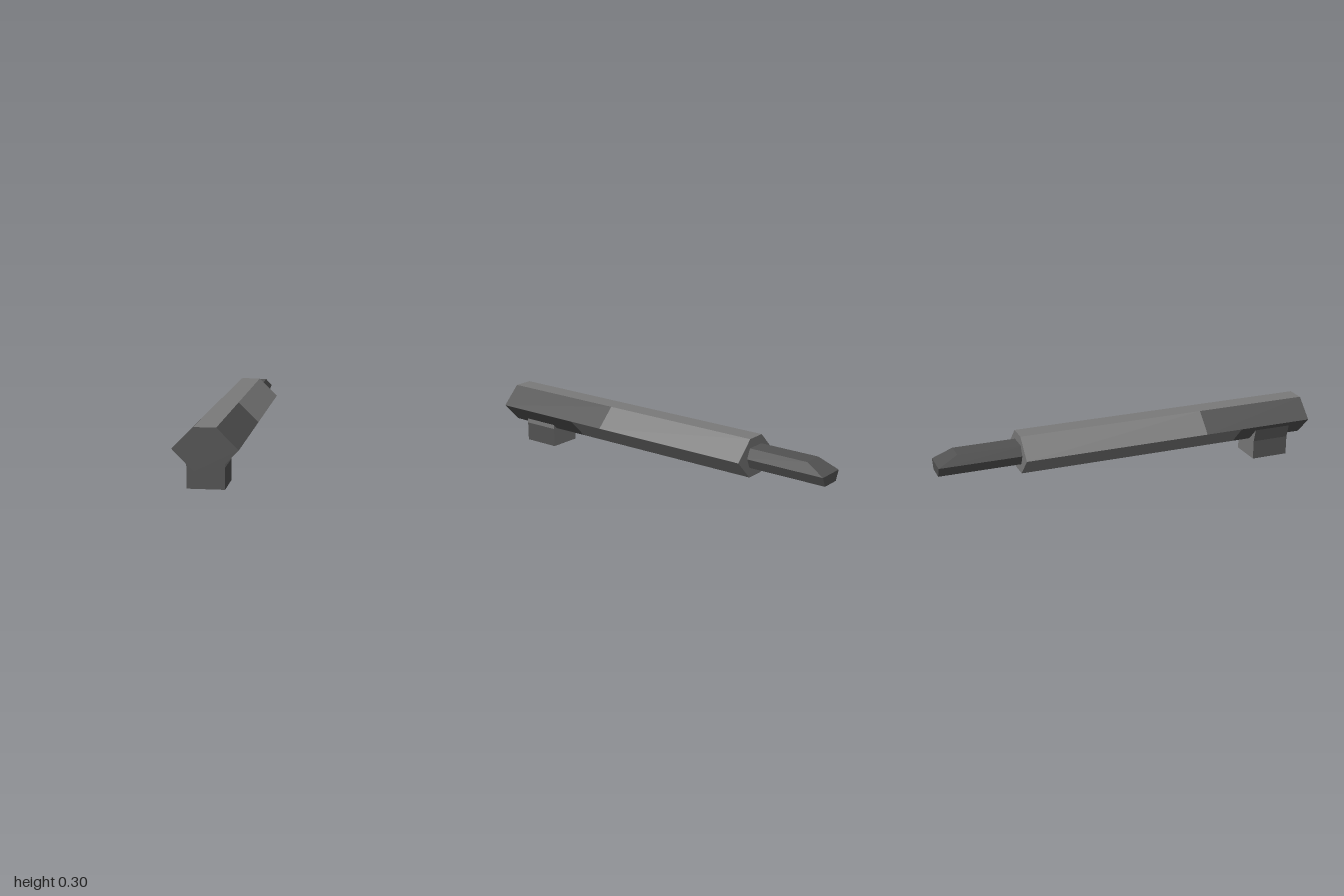
import * as THREE from 'three';

// Gathers flat polygons in two colours and turns them into one mesh.
class Faces {
  constructor() { this.lists = [[], []]; }
  // Fan a polygon from its first corner; corners run counter-clockwise seen from outside.
  add(color, pts) {
    for (let i = 1; i < pts.length - 1; i++) this.lists[color].push(...pts[0], ...pts[i], ...pts[i + 1]);
  }
  mesh(name, materials) {
    const geo = new THREE.BufferGeometry();
    const all = this.lists.flat();
    geo.setAttribute('position', new THREE.Float32BufferAttribute(all, 3));
    const n = this.lists[0].length / 3;
    geo.addGroup(0, n, 0);
    geo.addGroup(n, all.length / 3 - n, 1);
    geo.computeVertexNormals();
    const mesh = new THREE.Mesh(geo, materials);
    mesh.name = name;
    return mesh;
  }
}

const LIGHT = 0, DARK = 1;
const at = (p, z) => [p[0], p[1], z];
const cap = (outline, z) => outline.map(p => at(p, z));

// Six-sided section with flat top and bottom
const hexagon = (flat, wide, bottom, middle, top) => [
  [wide, middle], [flat, top], [-flat, top], [-wide, middle], [-flat, bottom], [flat, bottom],
];

// Side panel between corners a and b
const panel = (a, b, front, backA, backB = backA) =>
  [at(a, front), at(a, backA), at(b, backB), at(b, front)];

export function createModel() {
  const light = new THREE.MeshStandardMaterial({ color: 0x7a7a7a, flatShading: true });
  const dark = new THREE.MeshStandardMaterial({ color: 0x525252, flatShading: true });
  light.name = 'light grey';
  dark.name = 'dark grey';
  const materials = [light, dark];
  const model = new THREE.Group();
  model.name = 'model';

  // Body: each side panel is dark in front of its own split line
  const body = new Faces();
  const hex = hexagon(0.05, 0.148, 0.1, 0.2, 0.297);
  const bodyFront = 1, bodyBack = -0.58;
  const splits = [0.3, bodyFront, 0.4, 0.6, 0.4, 0.5];
  hex.forEach((a, i) => {
    const b = hex[(i + 1) % 6];
    if (splits[i] < bodyFront) body.add(DARK, panel(a, b, bodyFront, splits[i]));
    body.add(LIGHT, panel(a, b, splits[i], bodyBack));
  });
  body.add(DARK, cap(hex, bodyFront));
  body.add(LIGHT, cap(hex, bodyBack).reverse());
  model.add(body.mesh('body', materials));

  // Rear bar with its upper edge bevelled at the tip
  const bar = new Faces();
  const small = hexagon(0.05, 0.073, 0.15, 0.2, 0.25);
  const tip = [-1, -0.9, -0.9, -1, -1, -1];
  small.forEach((a, i) => {
    const j = (i + 1) % 6;
    bar.add(DARK, panel(a, small[j], -0.55, tip[i], tip[j]));
  });
  const end = small.map((p, i) => at(p, tip[i]));
  bar.add(DARK, [end[3], end[2], end[1], end[0]]);
  bar.add(DARK, [end[0], end[5], end[4], end[3]]);
  model.add(bar.mesh('rearBar', materials));

  // Foot under the front end, flaring on one side to meet the body
  const foot = new Faces();
  const outline = [[-0.1, 0.1], [-0.1, 0], [0.073, 0], [0.073, 0.1], [0.073, 0.126], [-0.118, 0.17]];
  const sideColors = [DARK, LIGHT, DARK, LIGHT, DARK, DARK];
  outline.forEach((a, i) => foot.add(sideColors[i], panel(a, outline[(i + 1) % 6], 0.9, 0.7)));
  foot.add(DARK, cap(outline, 0.9));
  const back = cap(outline, 0.7);
  foot.add(LIGHT, [back[0], ...back.slice(1).reverse()]);
  model.add(foot.mesh('foot', materials));

  return model;
}
